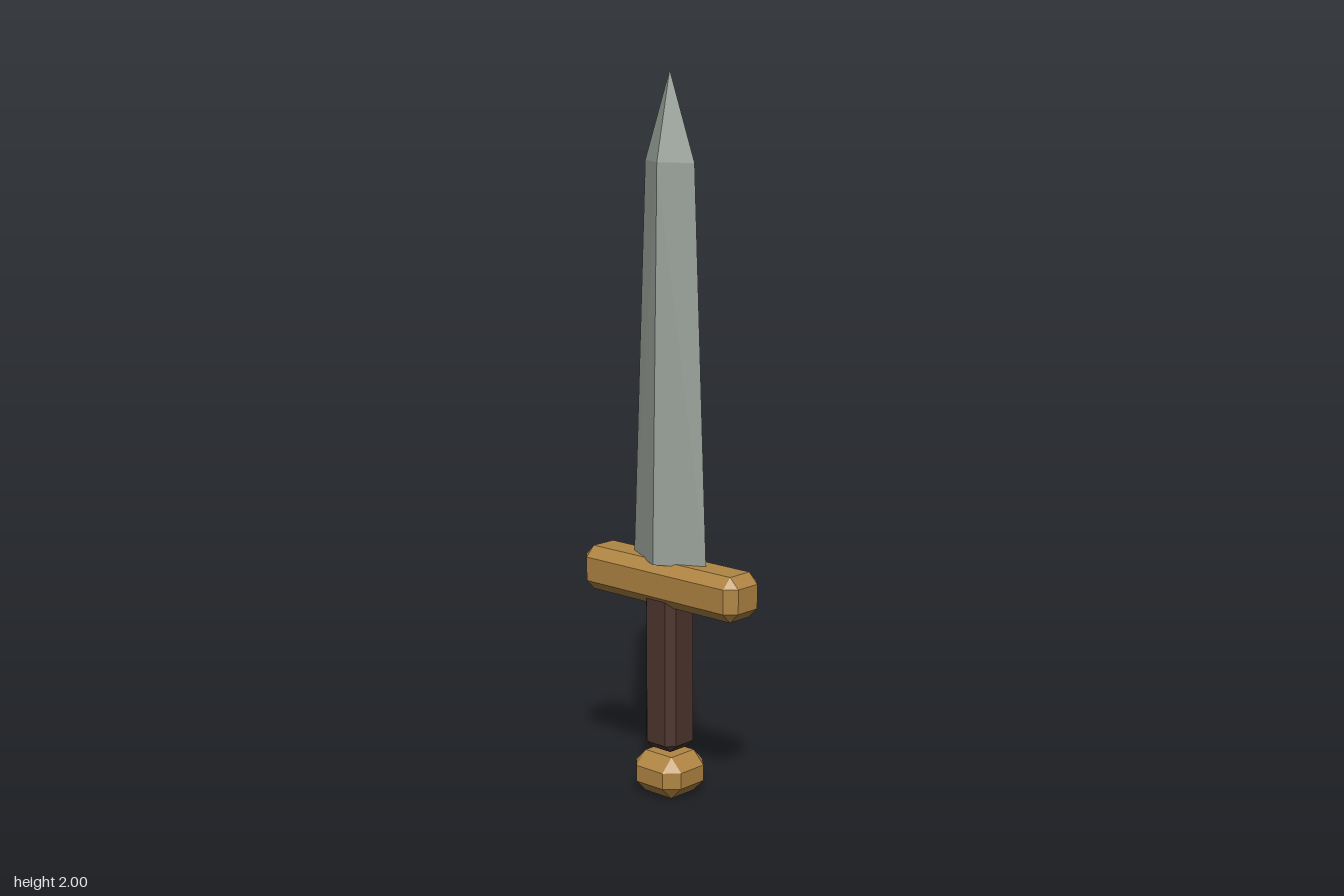
import * as THREE from 'three';
import { ConvexGeometry } from 'three/addons/geometries/ConvexGeometry.js';

const makeMaterial = (name, color) => {
  const material = new THREE.MeshStandardMaterial({ color, flatShading: true });
  material.name = name;
  return material;
};

// Box centred on x and z with every edge and corner cut by c
function chamferedBox(hx, y0, y1, hz, c) {
  const hy = (y1 - y0) / 2;
  const points = [];
  for (const x of [-1, 1]) for (const y of [-1, 1]) for (const z of [-1, 1]) {
    for (const [dx, dy, dz] of [[0, c, c], [c, 0, c], [c, c, 0]]) {
      points.push(new THREE.Vector3(x * (hx - dx), y * (hy - dy), z * (hz - dz)));
    }
  }
  return new ConvexGeometry(points).translate(0, (y0 + y1) / 2, 0);
}

// Diamond-section blade: base, shoulder and tip
function bladeGeometry() {
  const points = [new THREE.Vector3(0, 2, 0)];
  for (const [y, hx, hz] of [[0.668, 0.134, 0.068], [1.76, 0.089, 0.05]]) {
    for (const s of [-1, 1]) {
      points.push(new THREE.Vector3(s * hx, y, 0), new THREE.Vector3(0, y, s * hz));
    }
  }
  return new ConvexGeometry(points);
}

export function createModel() {
  const model = new THREE.Group();
  model.name = 'dagger';
  const steel = makeMaterial('steel', 0x9aa39b);
  const brass = makeMaterial('brass', 0xb08543);
  const leather = makeMaterial('leather', 0x4e352e);

  const add = (name, geometry, material) => {
    const mesh = new THREE.Mesh(geometry, material);
    mesh.name = name;
    model.add(mesh);
  };

  add('blade', bladeGeometry(), steel);
  add('guard', chamferedBox(0.284, 0.548, 0.674, 0.068, 0.029), brass);
  add('grip', chamferedBox(0.056, 0.13, 0.59, 0.056, 0.021), leather);
  add('pommel', chamferedBox(0.086, 0, 0.12, 0.083, 0.037), brass);
  return model;
}
